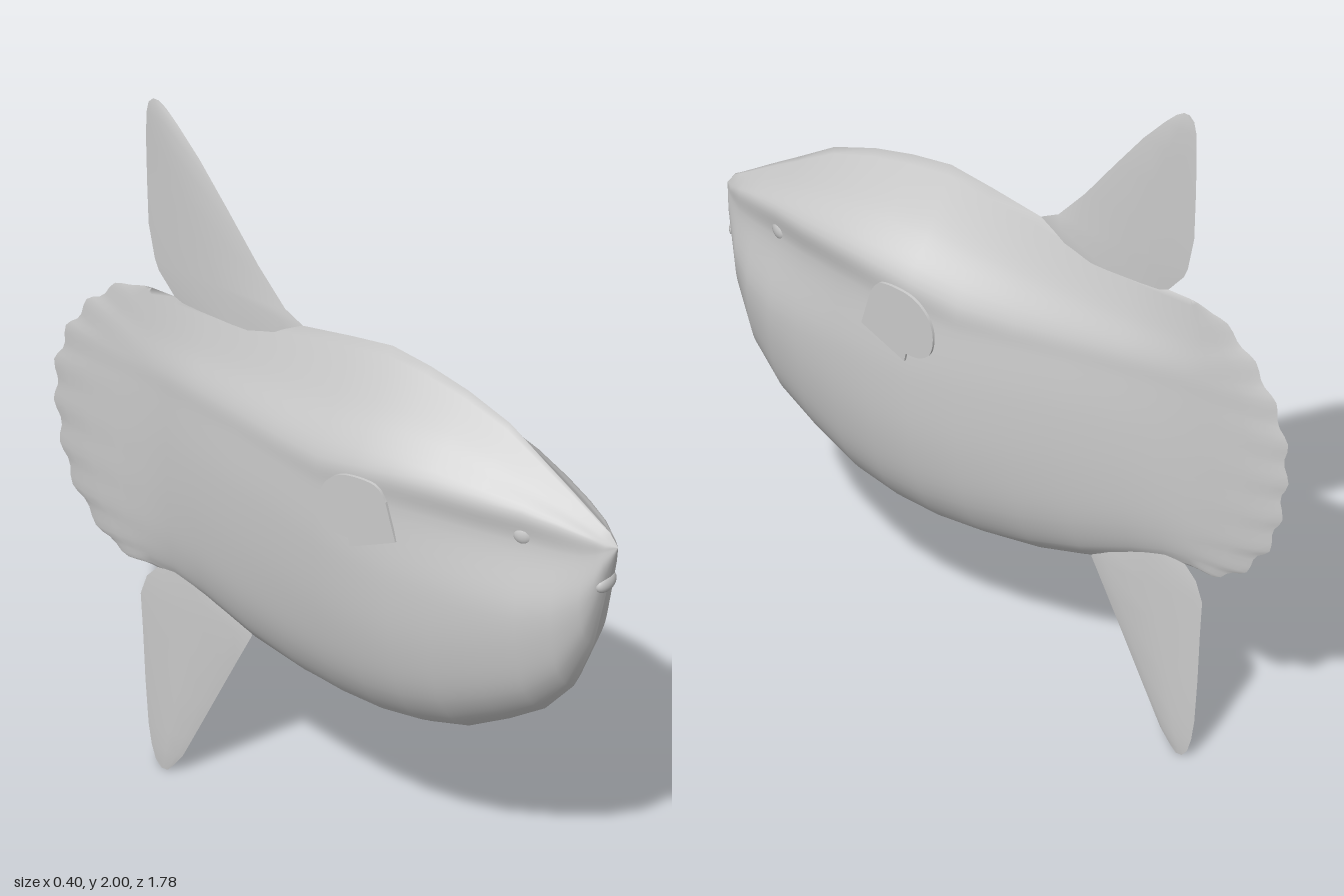
import * as THREE from 'three';
import { toCreasedNormals } from 'three/addons/utils/BufferGeometryUtils.js';

const V = (x, y, z) => new THREE.Vector3(x, y, z);
const lerp = THREE.MathUtils.lerp;
const material = new THREE.MeshStandardMaterial({ color: 0xcccccc, roughness: 0.8, side: THREE.DoubleSide });

function named(name, geometry) {
  const mesh = new THREE.Mesh(geometry, material);
  mesh.name = name;
  return mesh;
}

// Skin closed rings of points into one surface
function skin(rings) {
  const n = rings[0].length, index = [];
  for (let i = 0; i < rings.length - 1; i++) {
    for (let j = 0; j < n; j++) {
      const k = (j + 1) % n, a = i * n, b = a + n;
      index.push(a + j, a + k, b + j, a + k, b + k, b + j);
    }
  }
  const geometry = new THREE.BufferGeometry().setFromPoints(rings.flat());
  geometry.setIndex(index);
  geometry.computeVertexNormals();
  return geometry;
}

// Close a half section (top to bottom on +x) by mirroring it
const mirrorRing = half => [...half, ...half.slice(1, -1).reverse().map(p => V(-p.x, p.y, p.z))];

const N = 48;

// Body stations: z, bottom, top, cheek width, cheek y, brow width, brow y, hollow under brow
const stations = [
  [0.89, 1.185, 1.185, 0, 1.185, 0, 1.185, 0],
  [0.865, 1.09, 1.222, 0.03, 1.14, 0.022, 1.19, 0],
  [0.845, 1.0, 1.235, 0.045, 1.09, 0.033, 1.2, 0.003],
  [0.815, 0.87, 1.255, 0.07, 1.04, 0.05, 1.215, 0.006],
  [0.75, 0.72, 1.3, 0.105, 1.0, 0.075, 1.235, 0.014],
  [0.66, 0.62, 1.36, 0.135, 0.98, 0.105, 1.255, 0.02],
  [0.55, 0.55, 1.435, 0.162, 0.98, 0.14, 1.27, 0.018],
  [0.42, 0.48, 1.485, 0.183, 0.98, 0.17, 1.285, 0.012],
  [0.3, 0.45, 1.515, 0.195, 0.98, 0.183, 1.285, 0.008],
  [0.18, 0.437, 1.533, 0.19, 0.98, 0.178, 1.265, 0.005],
  [0.05, 0.44, 1.515, 0.165, 0.98, 0.15, 1.23, 0],
  [-0.1, 0.46, 1.49, 0.13, 0.99, 0.115, 1.22, 0],
  [-0.25, 0.5, 1.46, 0.1, 1.0, 0.085, 1.22, 0],
  [-0.4, 0.56, 1.432, 0.068, 1.0, 0.058, 1.22, 0],
  [-0.5, 0.592, 1.43, 0.046, 1.0, 0.04, 1.22, 0],
  [-0.58, 0.6, 1.43, 0.03, 1.0, 0.026, 1.22, 0],
];

function halfSection([z, yb, yt, w, cy, bw, by, hollow]) {
  return new THREE.CatmullRomCurve3([
    V(0, yt, z),
    V(bw * 0.5, lerp(yt, by, 0.55), z),
    V(bw, by, z),
    V(lerp(bw, w, 0.45) - hollow, lerp(by, cy, 0.33), z),
    V(w, cy, z),
    V(w * 0.93, lerp(cy, yb, 0.4), z),
    V(w * 0.7, lerp(cy, yb, 0.72), z),
    V(w * 0.35, lerp(cy, yb, 0.91), z),
    V(0, yb, z),
  ]).getPoints(N);
}

// Rounded, scalloped rear edge of the tail fringe, top to bottom
function tailRim() {
  const outline = [[-0.58, 1.43], [-0.66, 1.42], [-0.75, 1.36], [-0.84, 1.24], [-0.876, 1.15], [-0.892, 1.07],
    [-0.882, 0.93], [-0.845, 0.78], [-0.78, 0.68], [-0.7, 0.608], [-0.63, 0.595], [-0.58, 0.6]];
  const curve = new THREE.CatmullRomCurve3(outline.map(([z, y]) => V(0, y, z)));
  const centre = V(0, 1.02, -0.5);
  return curve.getSpacedPoints(N).map((p, j) => {
    const fade = Math.min(1, j / 5, (N - j) / 5);
    const inset = 0.009 * fade * (1 - Math.cos(j * Math.PI / 2.5));
    return p.addScaledVector(centre.clone().sub(p).normalize(), inset);
  });
}

function bodyGeometry() {
  const halves = stations.map(halfSection);
  const base = halves[halves.length - 1], rim = tailRim();
  for (const v of [0.3, 0.6, 0.85, 1]) {
    halves.push(base.map((p, j) => {
      const q = p.clone().lerp(rim[j], v);
      q.x = p.x * Math.sqrt(1 - v);
      return q;
    }));
  }
  return skin(halves.map(mirrorRing));
}

// Tall fin from rows running upward: y, leading z, trailing z, half thickness
function finGeometry(rows) {
  const rings = rows.map(([y, lead, trail, t]) => mirrorRing([
    V(0, y, lead),
    V(t * 0.8, y, lerp(lead, trail, 0.15)),
    V(t, y, lerp(lead, trail, 0.5)),
    V(t * 0.6, y, lerp(lead, trail, 0.8)),
    V(0, y, trail),
  ]));
  return toCreasedNormals(skin(rings), 0.6);
}

// Small rounded side fin, a thin plate
function sideFinGeometry() {
  const points = [[0.295, 1.2], [0.26, 1.24], [0.17, 1.24], [0.115, 1.205], [0.092, 1.15], [0.1, 1.09],
    [0.135, 1.06], [0.18, 1.055]].map(([z, y]) => new THREE.Vector2(0.21 - z, y));
  const shape = new THREE.Shape();
  shape.moveTo(-0.115, 1.09);
  shape.lineTo(points[0].x, points[0].y);
  shape.splineThru(points.slice(1));
  shape.lineTo(0.025, 1.03);
  shape.closePath();
  const geometry = new THREE.ExtrudeGeometry(shape, { depth: 0.008, bevelEnabled: false, curveSegments: 14 });
  geometry.translate(0, 0, -0.004);
  return geometry;
}

export function createModel() {
  const model = new THREE.Group();
  model.name = 'sunfish';

  model.add(named('body', bodyGeometry()));

  model.add(named('dorsalFin', finGeometry([
    [1.42, -0.14, -0.5, 0.012], [1.49, -0.105, -0.558, 0.012], [1.52, -0.16, -0.57, 0.011],
    [1.62, -0.245, -0.59, 0.01], [1.75, -0.34, -0.595, 0.009], [1.87, -0.43, -0.598, 0.008],
    [1.95, -0.5, -0.597, 0.006], [1.985, -0.535, -0.59, 0.003], [2.0, -0.558, -0.576, 0],
  ])));

  model.add(named('analFin', finGeometry([
    [0, -0.53, -0.55, 0], [0.02, -0.512, -0.567, 0.003], [0.06, -0.482, -0.58, 0.006],
    [0.12, -0.452, -0.59, 0.008], [0.25, -0.388, -0.6, 0.01], [0.4, -0.314, -0.608, 0.011],
    [0.5, -0.264, -0.615, 0.012], [0.56, -0.28, -0.595, 0.012], [0.61, -0.33, -0.55, 0.01],
  ])));

  // Mouth
  const mouth = named('mouth', new THREE.SphereGeometry(1, 20, 14));
  mouth.scale.set(0.04, 0.028, 0.02);
  mouth.position.set(0, 1.07, 0.85);
  model.add(mouth);

  // Paired eyes and side fins
  for (const [side, label] of [[1, 'left'], [-1, 'right']]) {
    const eye = named(label + 'Eye', new THREE.SphereGeometry(0.028, 18, 12));
    eye.scale.x = 0.55;
    eye.rotation.y = -side * 0.35;
    eye.position.set(side * 0.091, 1.187, 0.657);
    model.add(eye);

    const fin = named(label + 'PectoralFin', sideFinGeometry());
    fin.rotation.y = Math.PI / 2 - side * 0.04;
    fin.position.set(side * 0.191, 0, 0.21);
    model.add(fin);
  }
  return model;
}
